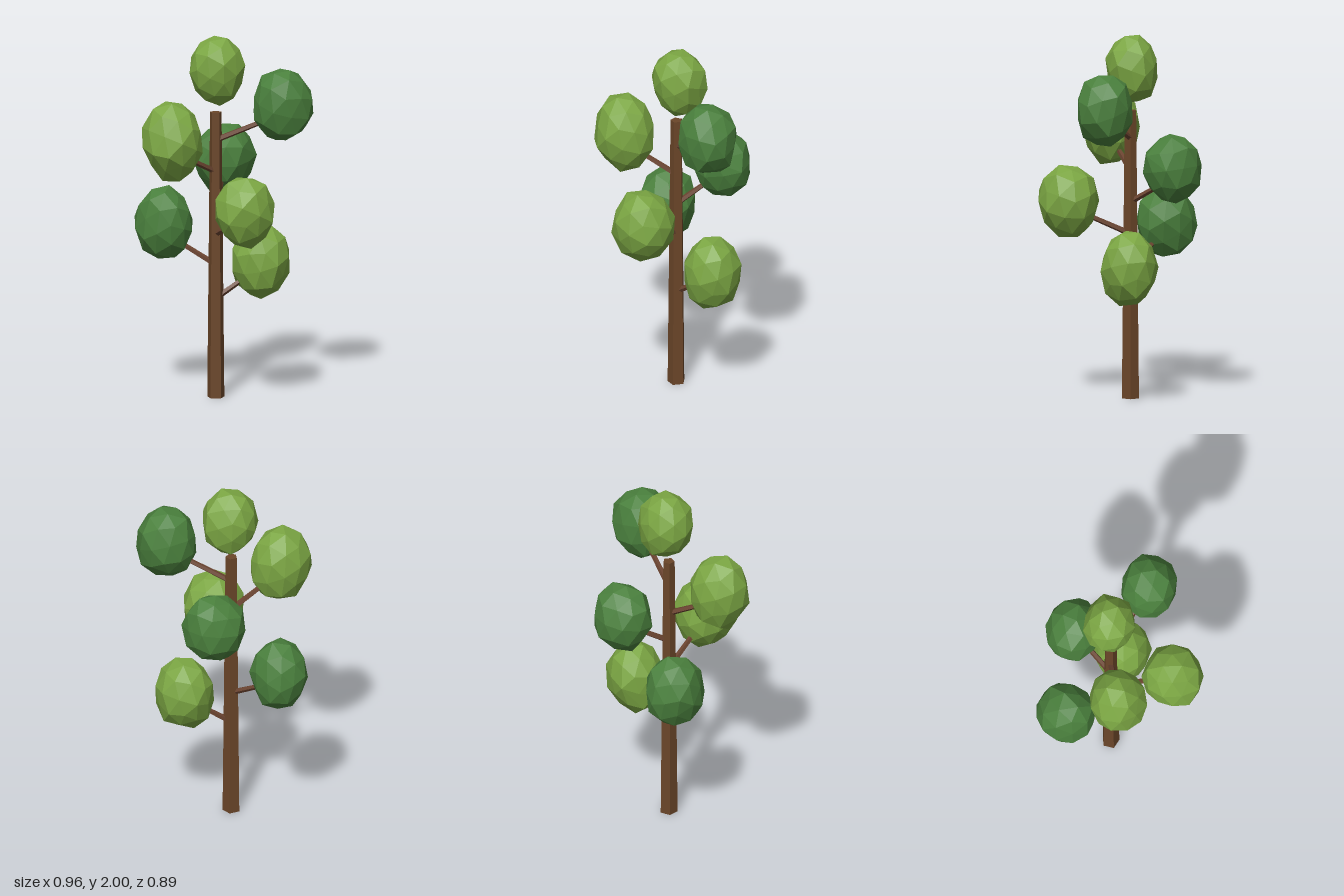
import * as THREE from 'three';
import { mergeVertices } from 'three/addons/utils/BufferGeometryUtils.js';
import { ConvexGeometry } from 'three/addons/geometries/ConvexGeometry.js';

const V = (a) => new THREE.Vector3(...a);

// Small seeded generator for the irregular foliage
function seeded(seed) {
  let s = seed * 7919 + 17;
  return () => (s = (s * 16807) % 2147483647) / 2147483647;
}

// Faceted foliage clump: a jittered icosphere hull fitted to a centre and half-size
function clumpGeometry(center, half, seed) {
  const rand = seeded(seed);
  for (let i = 0; i < 5; i++) rand();
  const ball = new THREE.IcosahedronGeometry(1, 1);
  ball.deleteAttribute('normal');
  ball.deleteAttribute('uv');
  const pos = mergeVertices(ball).attributes.position;
  const turn = new THREE.Euler(rand() * 6, rand() * 6, rand() * 6);
  const points = [];
  for (let i = 0; i < pos.count; i++) {
    const p = new THREE.Vector3().fromBufferAttribute(pos, i).applyEuler(turn);
    points.push(p.multiplyScalar(0.94 + rand() * 0.12));
  }
  const box = new THREE.Box3().setFromPoints(points);
  const mid = box.getCenter(new THREE.Vector3());
  const size = box.getSize(new THREE.Vector3());
  for (const p of points) p.sub(mid).divide(size).multiplyScalar(2).multiply(V(half)).add(V(center));
  return new ConvexGeometry(points);
}

export function createModel() {
  const tree = new THREE.Group();
  tree.name = 'tree';
  const material = (name, color) => {
    const m = new THREE.MeshStandardMaterial({ color, flatShading: true });
    m.name = name;
    return m;
  };
  const bark = material('bark', 0x6b4629);
  const twig = material('branchBark', 0x6b4430);
  const light = material('lightLeaf', 0x7ba643);
  const dark = material('darkLeaf', 0x4a803d);

  const add = (name, geometry, mat) => {
    const mesh = new THREE.Mesh(geometry, mat);
    mesh.name = name;
    tree.add(mesh);
    return mesh;
  };

  // Five-sided tapering trunk
  const axis = { x: -0.026, z: -0.055 };
  const height = 1.585;
  add('trunk', new THREE.CylinderGeometry(0.033, 0.049, height, 5, 1, false, Math.PI / 2), bark)
    .position.set(axis.x, height / 2, axis.z);

  // Branch from the trunk axis into a clump
  function branch(name, startY, end) {
    const a = new THREE.Vector3(axis.x, startY, axis.z);
    const d = V(end).sub(a);
    const mesh = add(name, new THREE.CylinderGeometry(0.013, 0.017, d.length(), 5), twig);
    mesh.position.copy(a).addScaledVector(d, 0.5);
    mesh.quaternion.setFromUnitVectors(new THREE.Vector3(0, 1, 0), d.normalize());
  }

  // Clumps: name, colour, centre, half-size, then branch start height and end
  const clumps = [
    ['crown', light, [-0.02, 1.812, -0.06], [0.152, 0.188, 0.142]],
    ['upperLeft', dark, [0.315, 1.628, 0.075], [0.162, 0.198, 0.15], 1.43, [0.28, 1.565, 0.06]],
    ['upperRight', light, [-0.312, 1.462, 0.06], [0.168, 0.217, 0.16], 1.255, [-0.28, 1.39, 0.05]],
    ['middleBack', dark, [0.1, 1.28, -0.285], [0.172, 0.19, 0.16], 1.08, [0.08, 1.205, -0.25]],
    ['middleFront', light, [0.032, 1.092, 0.28], [0.167, 0.198, 0.165], 0.905, [0.02, 1.04, 0.24]],
    ['lowerRight', dark, [-0.262, 0.95, -0.25], [0.16, 0.2, 0.165], 0.735, [-0.23, 0.87, -0.22]],
    ['lowerLeft', light, [0.23, 0.745, -0.055], [0.16, 0.205, 0.157], 0.55, [0.19, 0.685, -0.055]],
  ];
  clumps.forEach(([name, mat, center, half, startY, end], i) => {
    add(name + 'Foliage', clumpGeometry(center, half, i + 3), mat);
    if (end) branch(name + 'Branch', startY, end);
  });
  return tree;
}
